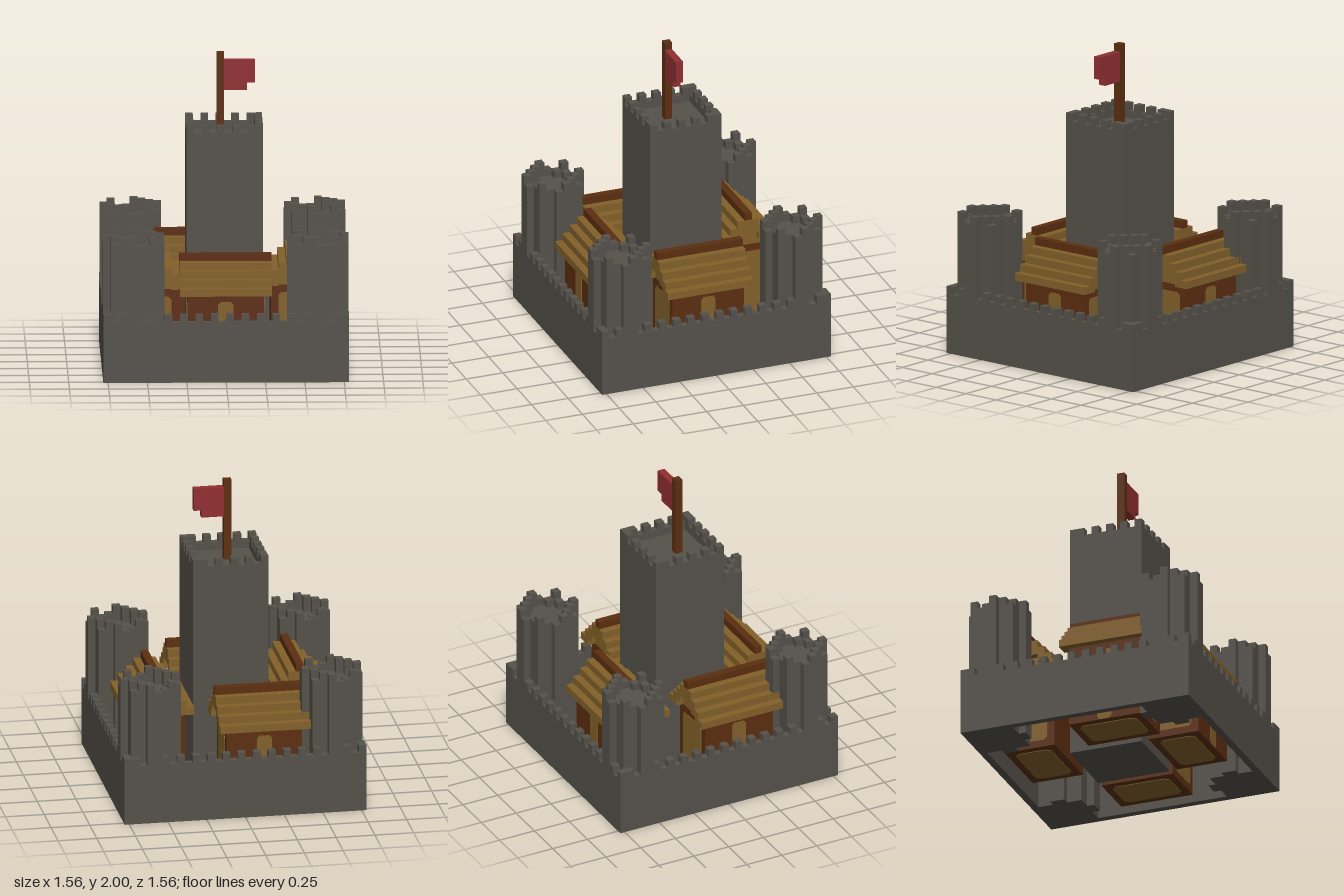
import * as THREE from 'three';

const U = 2 / 41; // one block

const mats = {
  stone: new THREE.MeshStandardMaterial({ color: 0x55514a, name: 'stone' }),
  timber: new THREE.MeshStandardMaterial({ color: 0x5c2e10, name: 'timber' }),
  thatch: new THREE.MeshStandardMaterial({ color: 0x83612a, name: 'thatch' }),
  cloth: new THREE.MeshStandardMaterial({ color: 0x902f31, name: 'red cloth' }),
};

// Box spanning two corners, in block units
function block(parent, name, mat, x0, x1, y0, y1, z0, z1) {
  const mesh = new THREE.Mesh(new THREE.BoxGeometry(x1 - x0, y1 - y0, z1 - z0), mats[mat]);
  mesh.position.set((x0 + x1) / 2, (y0 + y1) / 2, (z0 + z1) / 2);
  mesh.name = name;
  parent.add(mesh);
  return mesh;
}

// Thin plate with clipped corners, facing +z
function panel(parent, name, w, h, clip = 0.4) {
  const a = w / 2, b = h / 2, c = clip;
  const shape = new THREE.Shape([
    [-a + c, -b], [a - c, -b], [a, -b + c], [a, b - c],
    [a - c, b], [-a + c, b], [-a, b - c], [-a, -b + c],
  ].map(([x, y]) => new THREE.Vector2(x, y)));
  const mesh = new THREE.Mesh(new THREE.ExtrudeGeometry(shape, { depth: 0.08, bevelEnabled: false }), mats.thatch);
  mesh.name = name;
  parent.add(mesh);
  return mesh;
}

function group(parent, name) {
  const g = new THREE.Group();
  g.name = name;
  parent.add(g);
  return g;
}

// Square ring of merlons: every other block, doubled at the far corner
function merlons(parent, half, y) {
  const n = half * 2;
  for (let i = 0; i < n; i++) {
    if (i % 2 && i < n - 1) continue;
    const a = i - half;
    for (const s of [-half, half - 1]) {
      block(parent, 'merlon', 'stone', a, a + 1, y, y + 1, s, s + 1);
      if (i > 0 && i < n - 1) block(parent, 'merlon', 'stone', s, s + 1, y, y + 1, -a - 1, -a);
    }
  }
}

// Four walls, one block thick
function ring(parent, name, half, y0, y1) {
  const h = half;
  for (const s of [-h, h - 1]) {
    block(parent, name, 'stone', -h, h, y0, y1, s, s + 1);
    block(parent, name, 'stone', s, s + 1, y0, y1, -h + 1, h - 1);
  }
}

// Corner tower: square shaft with a two-block rib on each side
function tower(parent, cx, cz) {
  const g = group(parent, 'cornerTower');
  g.position.set(cx, 0, cz);
  block(g, 'shaft', 'stone', -3, 3, 0, 17, -3, 3);
  for (const s of [-4, 3]) {
    block(g, 'rib', 'stone', -1, 1, 0, 17, s, s + 1);
    block(g, 'rib', 'stone', s, s + 1, 0, 17, -1, 1);
  }
  // parapet cells, alternating high and low
  for (let x = -4; x < 4; x++) for (let z = -4; z < 4; z++) {
    const midX = x === -1 || x === 0, midZ = z === -1 || z === 0;
    const edge = (v) => v === -3 || v === 2;
    const end = (v) => v === -4 || v === 3;
    const inside = !end(x) && !end(z);
    const onRib = (midX && end(z)) || (midZ && end(x));
    const onShaft = inside && ((edge(x) && !midZ) || (edge(z) && !midX));
    if (onRib || onShaft)
      block(g, 'parapet', 'stone', x, x + 1, 17, (x + z) % 2 ? 18 : 19, z, z + 1);
  }
}

// Timber house facing outwards along +z, shifted sideways
function house(parent, angle, shift) {
  const pivot = group(parent, 'house');
  pivot.rotation.y = angle;
  const g = group(pivot, 'houseBody');
  g.position.x = shift;
  block(g, 'timberWalls', 'timber', -5, 5, 0.08, 11, 6, 13);
  // wall panels, door and floor
  for (const s of [-1, 1]) {
    const p = panel(g, 'gablePanel', 5, 9);
    p.position.set(s * 5, 5.5, 9.5);
    p.rotation.y = s * Math.PI / 2;
  }
  panel(g, 'door', 2, 10, 0.35).position.set(0, 5.1, 13);
  const floor = panel(g, 'floorPanel', 8, 5, 0.6);
  floor.position.set(0, 0.08, 9.5);
  floor.rotation.x = Math.PI / 2;
  // stepped roof and gable filling
  for (let k = 0; k < 4; k++) {
    const y0 = k ? 10 + k : 11, y1 = 12 + k;
    block(g, 'roofStep', 'thatch', -6, 6, y0, y1, 13 - k, 14 - k);
    block(g, 'roofStep', 'thatch', -6, 6, y0, y1, 5 + k, 6 + k);
    if (k) block(g, 'gable', 'thatch', -5, 5, 11, 11 + k, 5 + k, 14 - k);
  }
  block(g, 'roofCore', 'thatch', -6, 6, 13, 15, 9, 10);
  block(g, 'ridgeBeam', 'timber', -6, 6, 15, 16, 9, 10);
}

export function createModel() {
  const model = new THREE.Group();
  model.name = 'castle';
  model.scale.setScalar(U);

  // Outer wall
  const wall = group(model, 'outerWall');
  ring(wall, 'wall', 16, 0, 8);
  merlons(wall, 16, 8);

  for (const x of [-12, 12]) for (const z of [-12, 12]) tower(model, x, z);

  // Keep
  const keep = group(model, 'keep');
  block(keep, 'keepShaft', 'stone', -5, 5, 0, 30, -5, 5);
  ring(keep, 'keepParapet', 5, 30, 31);
  merlons(keep, 5, 31);

  // Houses around the keep
  house(model, 0, 0);
  house(model, Math.PI / 2, 0);
  house(model, Math.PI, 3);
  house(model, -Math.PI / 2, 3);

  // Flag
  const flag = group(model, 'flag');
  block(flag, 'flagPole', 'timber', -1, 0, 30, 41, 0, 1);
  block(flag, 'flagCloth', 'cloth', 0, 4, 37, 40, 0, 1);
  block(flag, 'flagCloth', 'cloth', 0, 3, 36, 37, 0, 1);

  return model;
}
